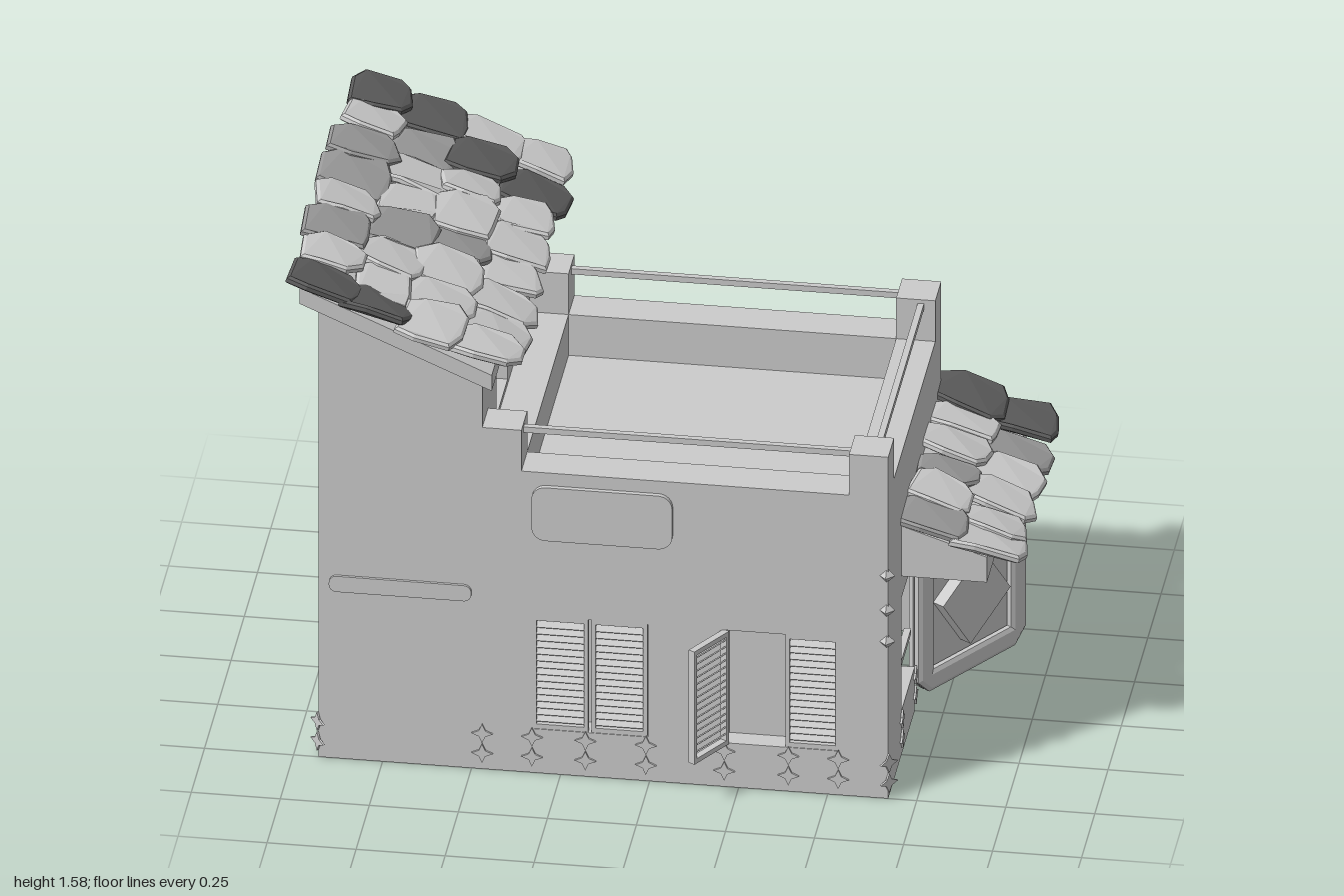
import * as THREE from 'three';

export function createModel() {
  const house = new THREE.Group();
  house.name = 'house';
  const grey = new THREE.MeshStandardMaterial({ color: 0xcccccc, flatShading: true });
  const tileMats = [0xcccccc, 0x999999, 0x5c5c5c].map(
    (color) => new THREE.MeshStandardMaterial({ color, flatShading: true }));
  let seed = 7;
  const rand = () => (seed = (seed * 16807) % 2147483647) / 2147483647;
  const vary = (a) => (rand() * 2 - 1) * a;

  const add = (geo, name, parent = house, mat = grey) => {
    const m = new THREE.Mesh(geo, mat);
    m.name = name;
    parent.add(m);
    return m;
  };
  // box from its minimum and maximum on each axis
  const box = (name, x0, x1, y0, y1, z0, z1, parent = house) => {
    const m = add(new THREE.BoxGeometry(x1 - x0, y1 - y0, z1 - z0), name, parent);
    m.position.set((x0 + x1) / 2, (y0 + y1) / 2, (z0 + z1) / 2);
    return m;
  };
  const poly = (pts) => new THREE.Shape(pts.map(([x, y]) => new THREE.Vector2(x, y)));
  const slab = (shape, depth) => new THREE.ExtrudeGeometry(shape, { depth, bevelEnabled: false, curveSegments: 5 });
  const prism = (name, pts, z0, z1) => {
    const m = add(slab(poly(pts), z1 - z0), name);
    m.position.z = z0;
    return m;
  };
  const rect = (x0, x1, y0, y1) => poly([[x0, y0], [x1, y0], [x1, y1], [x0, y1]]);
  const roofY = (x) => 1.49 - 0.434 * (x + 0.96);

  // front and back walls with window openings
  const windows = { left: [-0.33, -0.005], right: [0.215, 0.53] };
  for (const s of [1, -1]) {
    const wall = poly([[-0.93, 0], [0.67, 0], [0.67, 1.09], [0.56, 1.09], [0.56, 0.96], [-0.36, 0.96],
      [-0.36, 1.09], [-0.47, 1.09], [-0.47, roofY(-0.47)], [-0.93, roofY(-0.93)]]);
    for (const [a, b] of Object.values(windows)) wall.holes.push(rect(a, b, 0.14, 0.5));
    add(slab(wall, 0.06), s > 0 ? 'frontWall' : 'backWall').position.z = s > 0 ? 0.44 : -0.5;
  }

  // ground floor, with an open porch and a corner window beside it
  box('groundFloor', -0.93, 0.2, 0, 0.63, -0.44, 0.44);
  box('frontCorner', 0.2, 0.67, 0, 0.63, 0.25, 0.44);
  box('cornerSill', 0.2, 0.67, 0, 0.14, 0, 0.25);
  box('cornerLintel', 0.2, 0.67, 0.5, 0.63, 0, 0.25);
  box('cornerRail', 0.64, 0.66, 0.245, 0.262, 0, 0.25);
  box('terraceFloor', -0.93, 0.67, 0.63, 0.83, -0.44, 0.44);

  // terrace parapet, posts and rails
  box('parapet', 0.56, 0.67, 0.83, 0.96, -0.44, 0.44);
  box('parapet', -0.47, -0.36, 0.83, 0.96, -0.44, 0.44);
  for (const s of [1, -1]) {
    const z0 = s > 0 ? 0.39 : -0.44;
    box('parapet', -0.36, 0.56, 0.83, 0.96, z0, z0 + 0.05);
    for (const x of [-0.47, 0.56]) box('post', x, x + 0.11, 0.96, 1.09, z0, z0 + 0.05);
    box('rail', -0.36, 0.56, 1.06, 1.078, s * 0.45 - 0.009, s * 0.45 + 0.009);
  }
  box('rail', 0.62, 0.638, 1.06, 1.078, -0.39, 0.39);

  // tower with a doorway onto the terrace
  const tower = (x0, x1, z0, z1) =>
    prism('tower', [[x0, 0.83], [x1, 0.83], [x1, roofY(x1)], [x0, roofY(x0)]], z0, z1);
  tower(-0.93, -0.57, -0.44, 0.44);
  tower(-0.57, -0.47, -0.44, 0.02);
  tower(-0.57, -0.47, 0.23, 0.44);
  box('doorSill', -0.57, -0.47, 0.83, 0.975, 0.02, 0.23);
  prism('roofSlab', [[-0.97, 1.494], [-0.43, 1.26], [-0.43, 1.31], [-0.97, 1.545]], -0.585, 0.59);

  // porch awning on two side beams
  prism('awning', [[0.67, 0.63], [0.91, 0.63], [0.91, 0.65], [0.67, 0.73]], -0.5, 0.25);
  box('awningBeam', 0.67, 0.91, 0.57, 0.63, 0, 0.25);
  box('awningBeam', 0.67, 0.91, 0.57, 0.63, -0.5, -0.44);

  // rough stone tiles, lapped in columns down a slope
  const tiles = (name, x0, y0, cols, zA, zB, n) => {
    const roof = new THREE.Group();
    roof.name = name;
    house.add(roof);
    const pitch = (zB - zA) / n;
    for (let c = 0; c < cols; c++) {
      for (let i = 0; i < n; i++) {
        const L = 0.1 + vary(0.012), W = pitch * 0.58 + vary(0.01);
        const shape = poly([[-L, -W * 0.8], [-L * 0.3, -W], [L * 0.75, -W * 0.9], [L, -W * 0.3], [L * 0.95, W * 0.6],
          [L * 0.6, W], [-L * 0.5, W * 0.95], [-L, W * 0.6]].map(([x, y]) => [x + vary(0.012), y + vary(0.012)]));
        const g = new THREE.ExtrudeGeometry(shape,
          { depth: 0.012, bevelThickness: 0.006, bevelSize: 0.008, bevelOffset: -0.008, bevelSegments: 1 });
        // bow each tile a little along its length
        const p = g.attributes.position;
        for (let k = 0; k < p.count; k++) p.setZ(k, p.getZ(k) - 1.1 * p.getX(k) ** 2);
        g.rotateX(-Math.PI / 2);
        g.computeVertexNormals();
        const edge = i === n - 1 ? -0.012 : i === 0 ? 0.012 : 0;
        const shift = c % 2 && i > 0 && i < n - 1 ? pitch * 0.25 : 0;
        const tone = (i * 5 + (c >> 1) * 2) % 7;
        const t = add(g, 'tile', roof, tileMats[tone === 0 ? 2 : rand() < 0.25 ? 1 : 0]);
        const x = x0 + 0.09 + c * 0.153;
        t.position.set(x, y0 - 0.355 * (x - x0) + (c % 2 ? -0.006 : 0.004) + vary(0.008),
          zA + pitch * (i + 0.5) + edge + shift);
        t.rotation.set(vary(0.12), vary(0.15), -0.31 + vary(0.06));
      }
    }
  };
  tiles('towerTiles', -1.0, 1.565, 4, -0.62, 0.62, 8);
  tiles('awningTiles', 0.665, 0.765, 2, -0.57, 0.28, 6);

  // louvred shutter hinged on its left edge
  const shutter = (x, z, angle, w) => {
    const g = new THREE.Group();
    g.name = 'shutter';
    box('stile', 0, 0.012, 0, 0.36, -0.01, 0.01, g);
    box('stile', w - 0.012, w, 0, 0.36, -0.01, 0.01, g);
    box('shutterRail', 0.012, w - 0.012, 0, 0.015, -0.01, 0.01, g);
    box('shutterRail', 0.012, w - 0.012, 0.345, 0.36, -0.01, 0.01, g);
    for (let i = 0; i < 15; i++) {
      const y = 0.03 + i * 0.0214;
      box('slat', 0.012, w - 0.012, y - 0.002, y + 0.002, -0.011, 0.011, g).rotation.x = 0.75;
    }
    g.position.set(x, 0.14, z);
    g.rotation.y = angle;
    house.add(g);
  };
  for (const s of [1, -1]) {
    const [shut, open] = s > 0 ? [windows.left, windows.right] : [windows.right, windows.left];
    shutter(shut[0], s * 0.488, 0, 0.157);
    shutter(shut[0] + 0.166, s * 0.488, 0, 0.157);
    shutter(open[0] + 0.166, s * 0.488, 0, 0.152);
    shutter(open[0], s * 0.5, s * -2.11, 0.152);
  }

  // rounded plaques on the walls
  const plaque = (x0, x1, y0, y1, s, r, d = 0.014) => {
    const w = (x1 - x0) / 2, h = (y1 - y0) / 2, sh = new THREE.Shape();
    sh.absarc(w - r, h - r, r, 0, Math.PI / 2);
    sh.absarc(r - w, h - r, r, Math.PI / 2, Math.PI);
    sh.absarc(r - w, r - h, r, Math.PI, Math.PI * 1.5);
    sh.absarc(w - r, r - h, r, Math.PI * 1.5, Math.PI * 2);
    add(slab(sh, d), 'plaque').position.set((x0 + x1) / 2, (y0 + y1) / 2, s > 0 ? 0.5 : -0.5 - d);
  };
  plaque(-0.33, 0.065, 0.75, 0.92, 1, 0.04);
  plaque(-0.9, -0.5, 0.535, 0.585, 1, 0.022, 0.008);
  plaque(-0.89, -0.48, 0.74, 0.92, -1, 0.03);
  plaque(0.0, 0.21, 0.53, 0.605, -1, 0.02);
  plaque(0.585, 0.655, 0.73, 0.94, -1, 0.02);

  // four-pointed star ornaments in stacked pairs round the base
  const starShape = poly([...Array(8).keys()].map((i) => {
    const r = i % 2 ? 0.013 : 0.03, a = i * Math.PI / 4;
    return [r * Math.cos(a), r * Math.sin(a)];
  }));
  const stars = (x, z, turn) => {
    for (const y of [0.052, 0.115]) {
      const m = add(slab(starShape, 0.006), 'star');
      m.position.set(x, y, z);
      m.rotation.y = turn;
    }
  };
  for (const x of [-0.47, -0.33, -0.18, -0.01, 0.21, 0.39, 0.53]) {
    stars(x, 0.5, 0);
    stars(x, -0.5, Math.PI);
  }
  for (const z of [0.25, 0, -0.44]) stars(0.67, z, Math.PI / 2);
  for (const z of [0, 0.25]) stars(-0.93, z, -Math.PI / 2);
  for (const sx of [1, -1]) for (const sz of [1, -1])
    stars(sx > 0 ? 0.67 : -0.93, sz * 0.5, Math.atan2(sx, sz));

  // faceted studs up two opposite corners
  for (const [x, z] of [[0.665, 0.495], [-0.925, -0.495]])
    for (const y of [0.5, 0.6, 0.71])
      add(new THREE.OctahedronGeometry(0.024), 'cornerStud').position.set(x, y, z);

  // chamfered porch board with a sunken field and a tilted square
  const board = new THREE.Group();
  board.name = 'porchBoard';
  const w = 0.222, h = 0.235, c = 0.045;
  const outline = poly([[c - w, -h], [w - c, -h], [w, c - h], [w, h - c], [w - c, h], [c - w, h], [-w, h - c], [-w, c - h]]);
  add(slab(outline, 0.015), 'boardBack', board).position.z = -0.035;
  outline.holes.push(rect(-0.16, 0.16, -0.17, 0.17));
  add(new THREE.ExtrudeGeometry(outline, { depth: 0.014, bevelThickness: 0.006, bevelSize: 0.012, bevelOffset: -0.012, bevelSegments: 1 }),
    'boardFrame', board).position.z = -0.014;
  box('boardSquare', -0.1, 0.1, -0.1, 0.1, -0.025, 0.018, board).rotation.z = 0.6;
  board.position.set(0.803, 0.275, -0.19);
  board.rotation.y = 0.98;
  house.add(board);

  return house;
}
